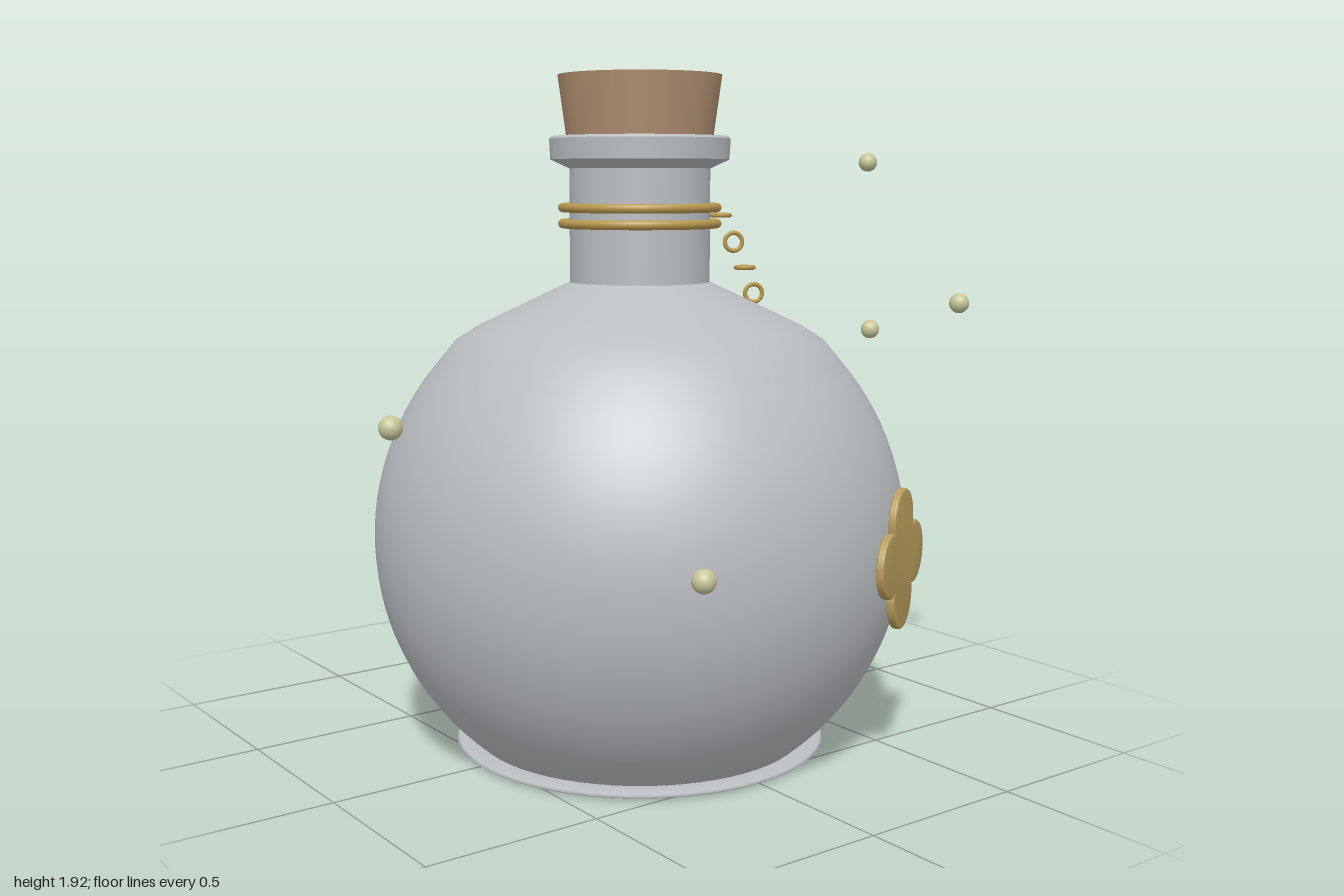
import * as THREE from 'three';
import { toCreasedNormals } from 'three/addons/utils/BufferGeometryUtils.js';

const material = (name, color) => {
  const m = new THREE.MeshStandardMaterial({ color });
  m.name = name;
  return m;
};

export function createModel() {
  const glass = material('grey glass', 0xbabec1);
  const corkBrown = material('cork brown', 0xb18f70);
  const gold = material('gold', 0xb8984f);
  const brass = material('charm brass', 0xb89d5c);
  const glow = material('pale yellow', 0xc6c79a);

  const model = new THREE.Group();
  model.name = 'corkedBottle';
  const bottle = new THREE.Group();
  bottle.name = 'bottle';
  bottle.position.set(-0.02, 0, 0.035);
  model.add(bottle);

  const add = (parent, name, geometry, mat, x = 0, y = 0, z = 0) => {
    const mesh = new THREE.Mesh(geometry, mat);
    mesh.name = name;
    mesh.position.set(x, y, z);
    parent.add(mesh);
    return mesh;
  };
  const lathe = (points, crease) => {
    const g = new THREE.LatheGeometry(points.map(([r, y]) => new THREE.Vector2(r, y)), 64);
    return crease ? toCreasedNormals(g, crease) : g;
  };

  // Round body: spherical belly running into a sloped shoulder
  const profile = [[0, 0.002], [0.465, 0.002]];
  const R = 0.767, cy = 0.615;
  for (let i = 0; i <= 28; i++) {
    const a = THREE.MathUtils.lerp(-0.875, 0.72, i / 28);
    profile.push([R * Math.cos(a), cy + R * Math.sin(a)]);
  }
  profile.push([0.53, 1.178], [0.47, 1.216], [0.4, 1.25], [0.2, 1.345]);
  add(bottle, 'body', lathe(profile, 0.6), glass);

  // Flattened foot ring
  const foot = new THREE.TorusGeometry(0.49, 0.052, 12, 64);
  foot.rotateX(Math.PI / 2);
  foot.scale(1, 0.2, 1);
  add(bottle, 'footRing', foot, glass, 0, 0.0105, 0);

  // Neck, lip and stopper
  add(bottle, 'neck', new THREE.CylinderGeometry(0.2, 0.2, 0.34, 64, 1, true), glass, 0, 1.505, 0);
  add(bottle, 'lip', lathe(
    [[0.19, 1.665], [0.2, 1.665], [0.254, 1.69], [0.257, 1.748], [0.25, 1.755], [0.19, 1.755]], 0.5), glass);
  add(bottle, 'cork', new THREE.CylinderGeometry(0.232, 0.208, 0.175, 64), corkBrown, 0, 1.8375, 0);

  // Two wire bands around the neck
  for (const y of [1.51, 1.555]) {
    const band = add(bottle, 'neckBand', new THREE.TorusGeometry(0.22, 0.013, 12, 64), gold, 0, y, 0);
    band.rotation.x = Math.PI / 2;
  }

  // Short chain, links alternately flat and upright
  const chain = new THREE.Group();
  chain.name = 'chain';
  model.add(chain);
  [[0.21, 1.532, 0.118], [0.246, 1.455, 0.133], [0.281, 1.38, 0.143], [0.307, 1.305, 0.153]].forEach((p, i) => {
    const link = add(chain, 'chainLink', new THREE.TorusGeometry(0.026, 0.0065, 8, 24), gold, ...p);
    link.rotation.set(i % 2 ? 0 : Math.PI / 2, i % 2 ? -0.4 : 0, 0);
  });

  // Four-lobed charm on the belly
  const lobe = 0.082, offset = 0.107;
  const mid = offset / Math.SQRT2;
  const sweep = Math.PI * 0.75 + Math.PI / 2 - Math.acos(Math.min(1, mid / lobe)) - Math.PI / 2;
  const clover = new THREE.Shape();
  for (let i = 0; i < 4; i++) {
    const a = i * Math.PI / 2;
    clover.absarc(offset * Math.cos(a), offset * Math.sin(a), lobe, a - sweep, a + sweep, false);
  }
  const charmGeometry = new THREE.ExtrudeGeometry(clover, {
    depth: 0.01, curveSegments: 20, bevelEnabled: true, bevelThickness: 0.006, bevelSize: 0.006, bevelSegments: 3,
  });
  charmGeometry.translate(0, 0, -0.005);
  const charm = add(model, 'cloverCharm', toCreasedNormals(charmGeometry, 0.7), brass, 0.357, 0.61, 0.722);
  charm.rotation.y = 0.5;

  // Floating beads around the bottle
  const bead = new THREE.SphereGeometry(0.03, 20, 14);
  for (const p of [
    [0.963, 1.69, -0.055], [0.892, 1.265, 0.42], [0.963, 1.15, -0.03],
    [-0.971, 1.04, 0.315], [-0.482, 0.71, 0.915], [0.222, 0.675, -0.92],
  ]) add(model, 'floatingBead', bead, glow, ...p);

  return model;
}
